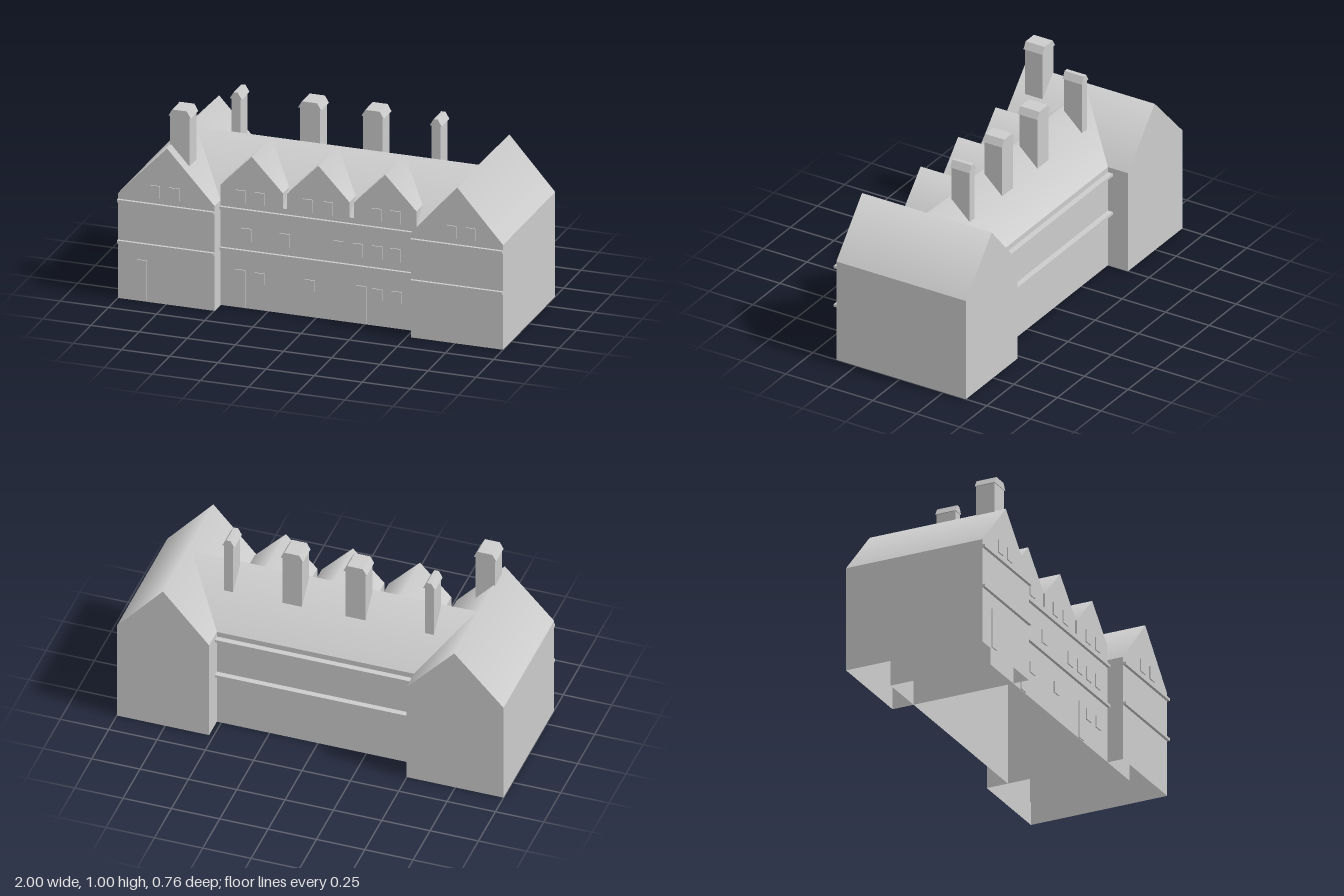
import * as THREE from 'three';

const material = new THREE.MeshStandardMaterial({ color: 0xcccccc, side: THREE.DoubleSide });

function add(parent, name, geometry) {
  const mesh = new THREE.Mesh(geometry, material);
  mesh.name = name;
  parent.add(mesh);
  return mesh;
}

// Box given by its limits on each axis
function block(parent, name, [x0, x1], [y0, y1], [z0, z1]) {
  const g = new THREE.BoxGeometry(x1 - x0, y1 - y0, z1 - z0);
  g.translate((x0 + x1) / 2, (y0 + y1) / 2, (z0 + z1) / 2);
  return add(parent, name, g);
}

function extrude(points, from, to) {
  const shape = new THREE.Shape(points.map(([x, y]) => new THREE.Vector2(x, y)));
  const g = new THREE.ExtrudeGeometry(shape, { depth: to - from, bevelEnabled: false });
  return g.translate(0, 0, from);
}

// Hollow gabled body along z: open underneath, with the roof shaded softly over the ridge
function gabledShell(x0, x1, apexX, base, eaves, ridge, from, to) {
  const source = extrude([[x0, base], [x1, base], [x1, eaves], [apexX, ridge], [x0, eaves]], from, to);
  const p = source.attributes.position, n = source.attributes.normal;
  const positions = [], normals = [];
  for (let i = 0; i < p.count; i += 3) {
    if (n.getY(i) < -0.9) continue;
    for (let j = i; j < i + 3; j++) {
      const soft = n.getY(j) > 0.1 && Math.abs(p.getY(j) - ridge) < 1e-4;
      positions.push(p.getX(j), p.getY(j), p.getZ(j));
      normals.push(...(soft ? [0, 1, 0] : [n.getX(j), n.getY(j), n.getZ(j)]));
    }
  }
  const g = new THREE.BufferGeometry();
  g.setAttribute('position', new THREE.Float32BufferAttribute(positions, 3));
  g.setAttribute('normal', new THREE.Float32BufferAttribute(normals, 3));
  return g;
}

// Stack with a cap whose sides slope in towards the top
function chimney(parent, x, width, z0, z1, base) {
  const group = new THREE.Group();
  group.name = 'chimney';
  const h = width / 2, c = h + 0.008, t = h - 0.012;
  block(group, 'chimneyStack', [x - h, x + h], [base, 0.972], [z0, z1]);
  add(group, 'chimneyCap', extrude(
    [[x - c, 0.97], [x + c, 0.97], [x + t, 1.005], [x - t, 1.005]], z0 - 0.004, z1 + 0.004));
  parent.add(group);
}

export function createModel() {
  const model = new THREE.Group();
  model.name = 'gabledHouse';
  const wingFront = 0.365, wingBack = -0.38, front = 0.28, back = -0.265;

  // End wings
  add(model, 'rightWing', gabledShell(-1, -0.497, -0.745, 0, 0.55, 0.82, wingBack, wingFront));
  add(model, 'leftWing', gabledShell(0.523, 1, 0.762, 0, 0.55, 0.82, wingBack, wingFront));

  // Main range, its ends running into the wings
  const main = gabledShell(-front, -back, 0, 0, 0.55, 0.8, -0.745, 0.762);
  main.rotateY(Math.PI / 2);
  add(model, 'mainRange', main);

  // Front gables reaching back to the main ridge
  for (const x of [-0.336, 0.01, 0.357]) {
    add(model, 'frontGable', gabledShell(x - 0.162, x + 0.162, x, 0.55, 0.63, 0.8, 0, front));
  }

  // String courses
  for (const y of [0.3, 0.515]) {
    const band = [y - 0.007, y + 0.007];
    block(model, 'wingBand', [-1, -0.497], band, [wingFront, wingFront + 0.015]);
    block(model, 'wingBand', [0.523, 1], band, [wingFront, wingFront + 0.015]);
    block(model, 'frontBand', [-0.497, 0.523], band, [front, front + 0.015]);
    block(model, 'backBand', [-0.497, 0.523], band, [back - 0.03, back]);
  }

  // Shallow raised doors and windows; each x is a left edge
  const openings = (name, xs, y, z) => {
    for (const x of xs) block(model, name, [x, x + 0.052], y, [z, z + 0.006]);
  };
  openings('wingDoor', [-0.9], [0.01, 0.217], wingFront);
  openings('wingWindow', [-0.833, -0.733, 0.705, 0.805], [0.55, 0.617], wingFront);
  openings('frontDoor', [-0.42, 0.207], [0.004, 0.2], front);
  openings('groundWindow', [-0.32, -0.06, 0.29, 0.39], [0.135, 0.195], front);
  openings('middleWindow', [-0.39, -0.19, 0.09, 0.19, 0.29, 0.385], [0.35, 0.42], front);
  openings('gableWindow', [-0.418, -0.32, -0.07, 0.035, 0.285, 0.385], [0.55, 0.617], front);

  // Chimneys
  chimney(model, -0.7, 0.1, 0.205, 0.306, 0.68);
  for (const [x, w] of [[-0.523, 0.046], [-0.14, 0.104], [0.187, 0.1], [0.515, 0.046]]) {
    chimney(model, x, w, -0.114, -0.011, 0.67);
  }
  return model;
}
